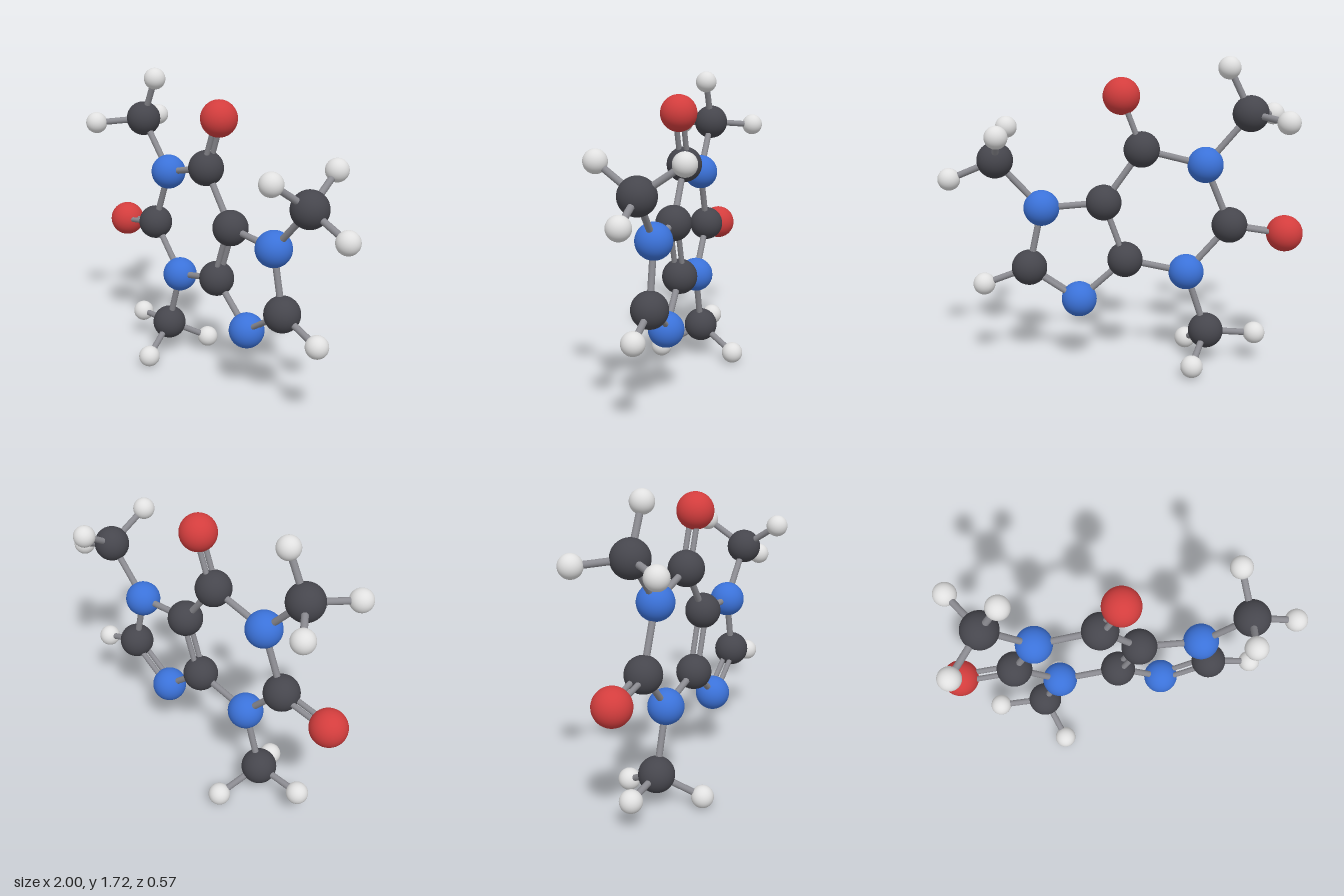
import * as THREE from 'three';

const material = (name, color) => {
  const m = new THREE.MeshStandardMaterial({ color });
  m.name = name;
  return m;
};

// Atom types: radius, colour and readable name
const TYPES = {
  C: { name: 'carbon', radius: 0.098, mat: material('charcoal', 0x46464d) },
  N: { name: 'nitrogen', radius: 0.098, mat: material('blue', 0x3b72d9) },
  O: { name: 'oxygen', radius: 0.1, mat: material('red', 0xd33d3d) },
  H: { name: 'hydrogen', radius: 0.061, mat: material('white', 0xe0e0e0) },
};
const bondMaterial = material('grey', 0x8b8b91);

// Flat ring skeleton: id -> [type, x, y, z]
const atoms = {
  C2: ['C', -0.595, 0.805, 0],
  C4: ['C', -0.02, 0.61, 0],
  C5: ['C', 0.097, 0.933, 0],
  C6: ['C', -0.11, 1.225, 0],
  C8: ['C', 0.51, 0.567, 0],
  N1: ['N', -0.456, 1.14, 0],
  N3: ['N', -0.36, 0.538, 0],
  N7: ['N', 0.437, 0.904, 0],
  N9: ['N', 0.236, 0.382, 0],
  O2: ['O', -0.9, 0.757, 0],
  O6: ['O', 0, 1.512, 0],
  H8: ['H', 0.763, 0.473, 0],
};

// Bonds: [from, to, order]
const bonds = [
  ['N1', 'C2', 1], ['C2', 'N3', 1], ['N3', 'C4', 1], ['C4', 'C5', 2],
  ['C5', 'C6', 1], ['C6', 'N1', 1], ['C5', 'N7', 1], ['N7', 'C8', 1],
  ['C8', 'N9', 2], ['N9', 'C4', 1], ['C2', 'O2', 2], ['C6', 'O6', 2],
  ['C8', 'H8', 1],
];

// Methyl group: a carbon, one in-plane hydrogen and a front/back pair
function addMethyl(id, parent, [cx, cy], [hx, hy], [px, py]) {
  atoms[id] = ['C', cx, cy, 0];
  atoms[id + 'a'] = ['H', hx, hy, 0];
  atoms[id + 'b'] = ['H', px, py, 0.222];
  atoms[id + 'c'] = ['H', px, py, -0.222];
  bonds.push([parent, id, 1]);
  for (const s of 'abc') bonds.push([id, id + s, 1]);
}
addMethyl('M1', 'N1', [-0.694, 1.417], [-0.573, 1.66], [-0.856, 1.394]);
addMethyl('M3', 'N3', [-0.475, 0.193], [-0.75, 0.177], [-0.379, 0.065]);
addMethyl('M7', 'N7', [0.683, 1.168], [0.935, 1.064], [0.645, 1.321]);

// Cylinder between two points, shifted in z
function makeRod(a, b, radius, dz) {
  const dir = b.clone().sub(a);
  const rod = new THREE.Mesh(
    new THREE.CylinderGeometry(radius, radius, dir.length(), 16), bondMaterial);
  rod.position.copy(a).add(b).multiplyScalar(0.5);
  rod.position.z += dz;
  rod.quaternion.setFromUnitVectors(new THREE.Vector3(0, 1, 0), dir.normalize());
  return rod;
}

export function createModel() {
  const model = new THREE.Group();
  model.name = 'molecule';

  // Atoms
  const spheres = {};
  for (const key in TYPES) {
    spheres[key] = new THREE.SphereGeometry(TYPES[key].radius, 36, 24);
  }
  const at = {};
  for (const [id, [type, x, y, z]] of Object.entries(atoms)) {
    const ball = new THREE.Mesh(spheres[type], TYPES[type].mat);
    ball.name = TYPES[type].name + 'Atom';
    ball.position.set(x, y, z);
    at[id] = ball.position;
    model.add(ball);
  }

  // Single bonds are one rod; double bonds are two thinner rods, front and back
  for (const [from, to, order] of bonds) {
    const bond = new THREE.Group();
    bond.name = order === 2 ? 'doubleBond' : 'singleBond';
    if (order === 2) {
      for (const dz of [-0.021, 0.021]) bond.add(makeRod(at[from], at[to], 0.015, dz));
    } else {
      bond.add(makeRod(at[from], at[to], 0.018, 0));
    }
    bond.children.forEach((rod) => { rod.name = 'bondRod'; });
    model.add(bond);
  }
  return model;
}
